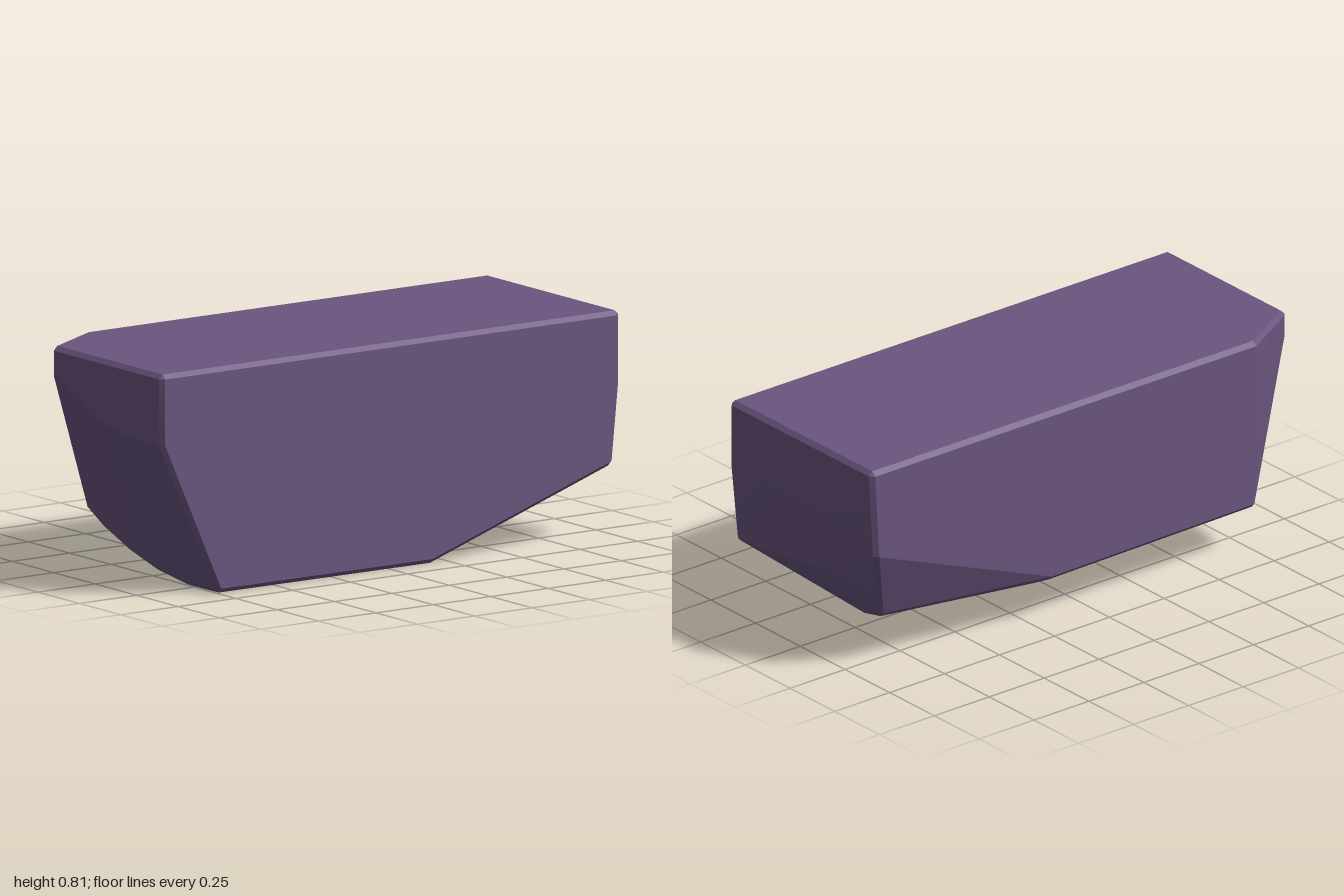
import * as THREE from 'three';
import { ConvexGeometry } from 'three/addons/geometries/ConvexGeometry.js';
import { toCreasedNormals } from 'three/addons/utils/BufferGeometryUtils.js';

const BEVEL = 0.016;
const HEIGHT = 0.815;

// Convex solid around the corners, with every corner and edge chamfered.
function beveledHull(corners, r) {
  const points = [];
  const clamp = THREE.MathUtils.clamp;
  for (const [x, y, z] of corners) {
    const core = new THREE.Vector3(
      clamp(x, -1 + r, 1 - r), clamp(y, r, HEIGHT - r), clamp(z, -0.4 + r, 0.4 - r));
    for (let axis = 0; axis < 3; axis++) {
      for (const s of [-r, r]) {
        const p = core.clone();
        p.setComponent(axis, p.getComponent(axis) + s);
        points.push(p);
      }
    }
  }
  return toCreasedNormals(new ConvexGeometry(points), 0.35);
}

export function createModel() {
  const corners = [];

  // Flat top with one cut corner at the back
  for (const [x, z] of [[-1, 0.4], [1, 0.4], [1, -0.4], [-0.75, -0.4], [-1, -0.25]]) {
    corners.push([x, HEIGHT, z]);
  }

  // Curved underside: height at each depth, swept along x
  for (const [z, y] of [[0.4, 0.005], [0.2, 0], [0.02, 0.028], [-0.15, 0.073], [-0.3, 0.13], [-0.4, 0.175]]) {
    corners.push([-0.74, y + 0.012, z], [0.18, y, z]);
  }

  // Lower limit of the upright band on each end
  for (const [z, y] of [[0.4, 0.56], [0.18, 0.56], [0, 0.6], [-0.2, 0.69]]) {
    corners.push([-1, y, z], [1, y, z]);
  }
  corners.push([-1, 0.71, -0.25], [1, 0.78, -0.4]);

  // Lower edge of the left end, and the undercut corner below it
  corners.push(
    [0.955, 0.275, 0.4], [0.955, 0.29, 0.17], [0.955, 0.325, -0.06],
    [0.965, 0.48, -0.4], [0.87, 0.18, -0.2], [0.87, 0.2, -0.29]);

  const rock = new THREE.Mesh(
    beveledHull(corners, BEVEL),
    new THREE.MeshStandardMaterial({ color: 0x6b5680 }));
  rock.name = 'rockBlock';

  const group = new THREE.Group();
  group.name = 'rock';
  group.add(rock);
  return group;
}
